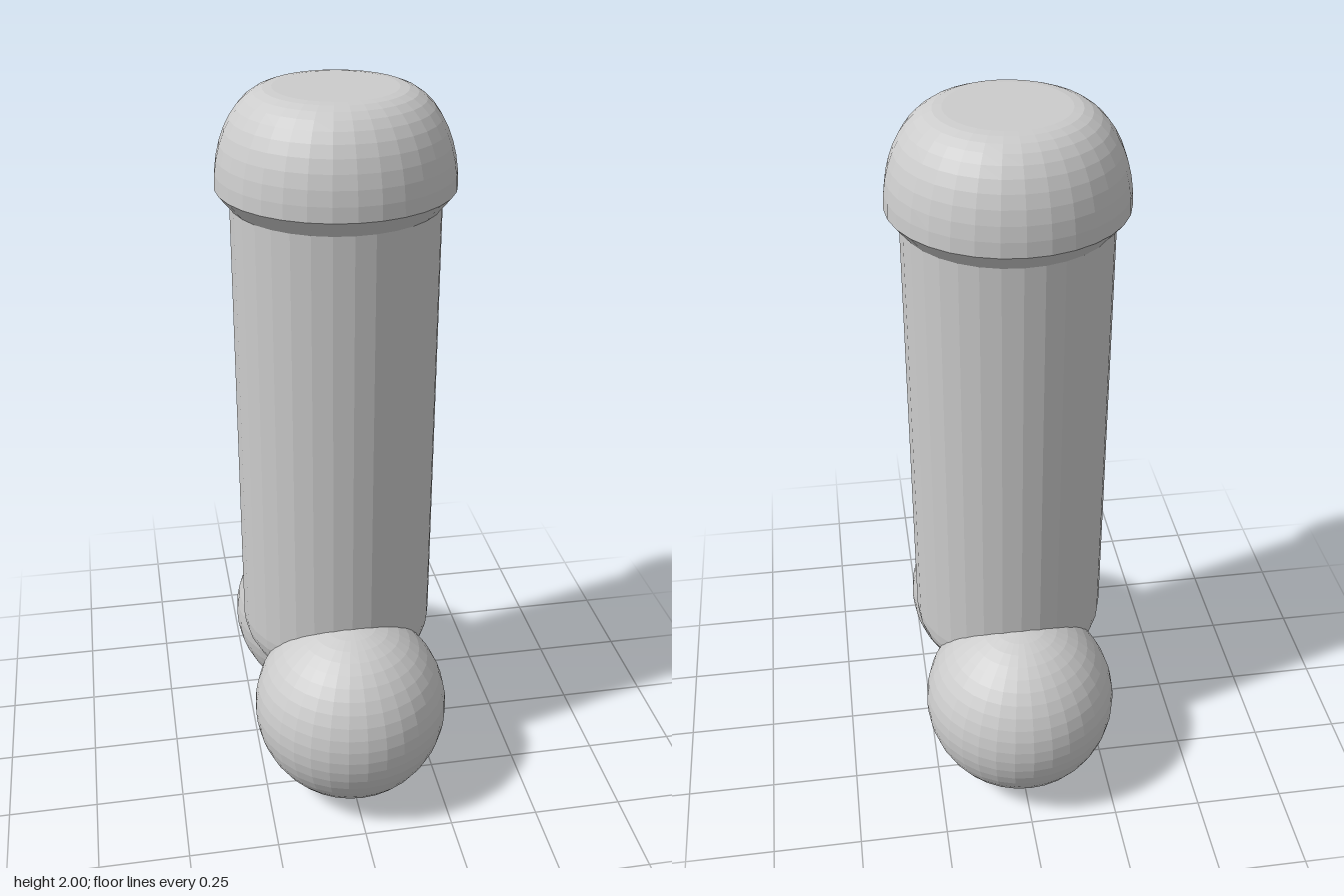
import * as THREE from 'three';

const SIDES = 32;

// Quarter-ellipse profile points, swept from angle a0 to a1
function arc(cx, cy, rx, ry, a0, a1, steps) {
  return Array.from({ length: steps + 1 }, (_, i) => {
    const a = a0 + ((a1 - a0) * i) / steps;
    return new THREE.Vector2(cx + rx * Math.cos(a), cy + ry * Math.sin(a));
  });
}

export function createModel() {
  const model = new THREE.Group();
  const material = new THREE.MeshStandardMaterial({ color: 0xcccccc, flatShading: true });

  function add(name, geometry, x = 0, y = 0, z = 0) {
    const mesh = new THREE.Mesh(geometry, material);
    mesh.name = name;
    mesh.position.set(x, y, z);
    model.add(mesh);
  }

  // Column with a rounded lower edge
  add('shaft', new THREE.LatheGeometry([
    new THREE.Vector2(0, 0.29),
    ...arc(0.11, 0.455, 0.165, 0.165, -Math.PI / 2, 0, 8),
    new THREE.Vector2(0.275, 1.71),
  ], SIDES));

  // Flared rim, domed side and flat top
  add('cap', new THREE.LatheGeometry([
    new THREE.Vector2(0, 1.705),
    new THREE.Vector2(0.275, 1.705),
    ...arc(0.16, 1.75, 0.152, 0.25, 0, Math.PI / 2, 10),
    new THREE.Vector2(0, 2),
  ], SIDES));

  // Pair of spheres at the base, front and back
  for (const side of [1, -1]) {
    add(side > 0 ? 'frontSphere' : 'backSphere',
      new THREE.SphereGeometry(0.275, SIDES, 24), 0, 0.278, side * 0.247);
  }

  return model;
}
